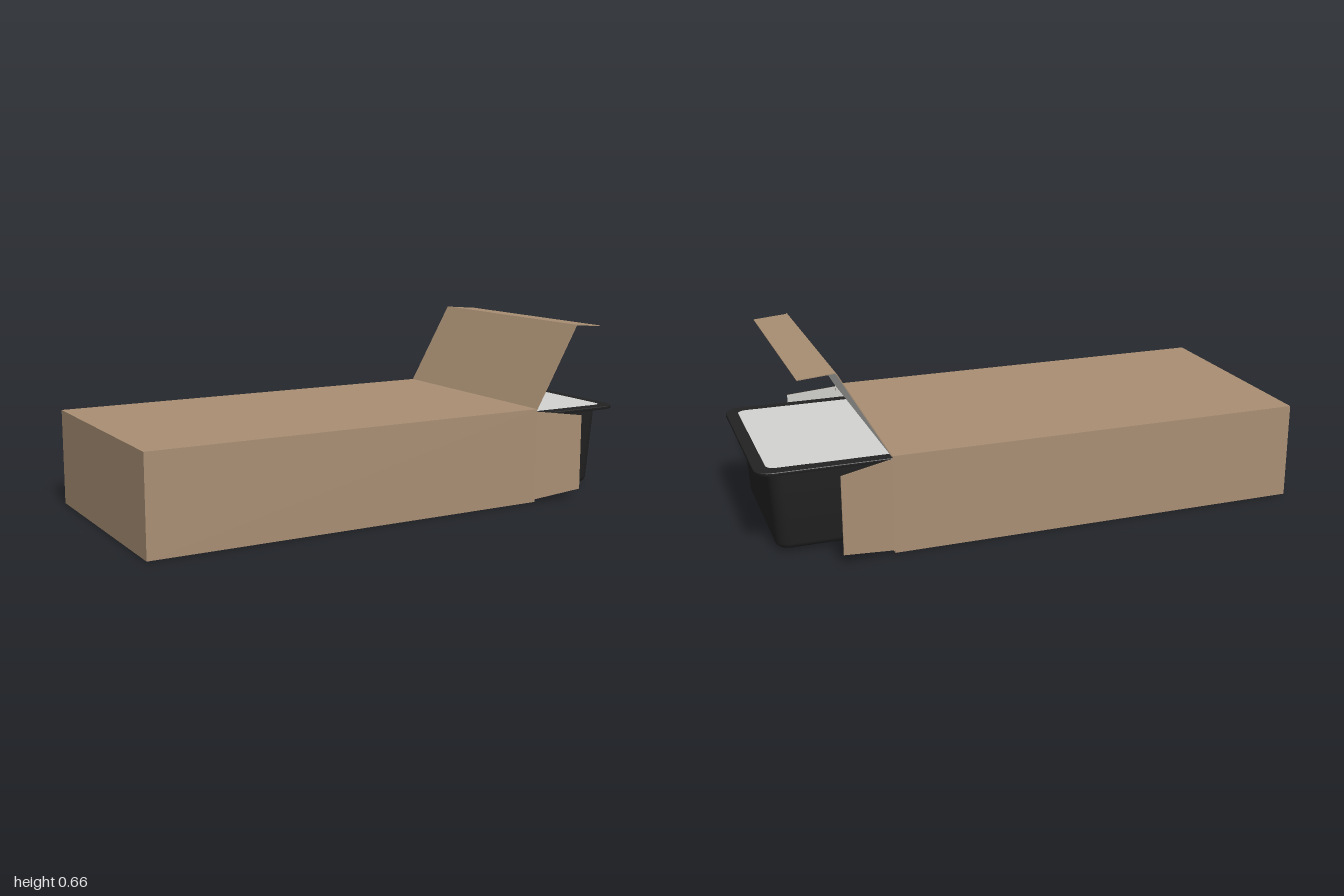
import * as THREE from 'three';
import { toCreasedNormals } from 'three/addons/utils/BufferGeometryUtils.js';

const card = new THREE.MeshStandardMaterial({ color: 0xa88e73 });
card.name = 'brown card';
const liner = new THREE.MeshStandardMaterial({ color: 0xd0d0cd });
liner.name = 'white liner';
const plastic = new THREE.MeshStandardMaterial({ color: 0x222222 });
plastic.name = 'black plastic';
const filmMat = new THREE.MeshStandardMaterial({ color: 0xd2d2d0 });
filmMat.name = 'sealing film';

const THICK = 0.003;

// Thin card panel: four corners counter-clockwise seen from the brown side, white on the other side
function panel(name, corners) {
  const outer = corners.map((c) => new THREE.Vector3(...c));
  const n = new THREE.Vector3()
    .crossVectors(outer[1].clone().sub(outer[0]), outer[3].clone().sub(outer[0]))
    .setLength(THICK);
  const inner = outer.map((p) => p.clone().sub(n));
  const pts = [];
  const quad = (a, b, c, d) => pts.push(a, b, c, a, c, d);
  quad(...outer);
  for (let i = 0; i < 4; i++) {
    const j = (i + 1) % 4;
    quad(outer[i], inner[i], inner[j], outer[j]);
  }
  quad(inner[0], inner[3], inner[2], inner[1]);
  const g = new THREE.BufferGeometry().setFromPoints(pts);
  g.computeVertexNormals();
  g.addGroup(0, 30, 0);
  g.addGroup(30, 6, 1);
  const m = new THREE.Mesh(g, [card, liner]);
  m.name = name;
  return m;
}

// Rounded rectangle outline, counter-clockwise in the shape plane
function outline(hx, hz, r) {
  const pts = [];
  [[1, 1], [-1, 1], [-1, -1], [1, -1]].forEach(([sx, sz], k) => {
    for (let i = 0; i <= 8; i++) {
      const a = (k + i / 8) * Math.PI / 2;
      pts.push(new THREE.Vector2(sx * (hx - r) + r * Math.cos(a), sz * (hz - r) + r * Math.sin(a)));
    }
  });
  return pts;
}

// Flanged tray lofted through rounded rectangles, sealed with a film
function tray(name, x0, x1, halfWidth, y0, y1, flange, lip, taper) {
  const hx = (x1 - x0) / 2;
  const b = flange + taper;
  // [height, inset from the flange edge, corner radius]
  const rings = [
    [y0, b + 0.02, 0.03],
    [y0 + 0.003, b + 0.01, 0.04],
    [y0 + 0.009, b + 0.003, 0.046],
    [y0 + 0.02, b - 0.001, 0.05],
    [y1 - lip, flange, 0.05],
    [y1 - lip, 0.001, 0.06],
    [y1 - lip + 0.002, 0, 0.06],
    [y1 - 0.002, 0, 0.06],
    [y1, 0.002, 0.058],
    [y1, 0.045, 0.03],
  ].map(([y, inset, r]) =>
    outline(hx - inset, halfWidth - inset, r).map((p) => new THREE.Vector3(p.x, y, -p.y)));
  const tris = [];
  const count = rings[0].length;
  for (let k = 0; k < rings.length - 1; k++) {
    for (let i = 0; i < count; i++) {
      const j = (i + 1) % count;
      const [a, c, d, e] = [rings[k][i], rings[k][j], rings[k + 1][j], rings[k + 1][i]];
      tris.push(a, c, d, a, d, e);
    }
  }
  const base = new THREE.Vector3(0, y0, 0);
  for (let i = 0; i < count; i++) tris.push(base, rings[0][(i + 1) % count], rings[0][i]);

  const body = new THREE.Mesh(
    toCreasedNormals(new THREE.BufferGeometry().setFromPoints(tris), 0.7), plastic);
  body.name = name + 'Body';
  const film = new THREE.Mesh(
    new THREE.ShapeGeometry(new THREE.Shape(outline(hx - 0.044, halfWidth - 0.044, 0.031))), filmMat);
  film.name = name + 'Film';
  film.rotation.x = -Math.PI / 2;
  film.position.y = y1 + 0.001;
  const g = new THREE.Group();
  g.name = name;
  g.position.x = (x0 + x1) / 2;
  g.add(body, film);
  return g;
}

export function createModel() {
  const model = new THREE.Group();
  model.name = 'openCartonWithTrays';
  const B = -1, F = 0.55, H = 0.357, W = 0.432;

  // Carton sleeve, closed at the back end and open at the other
  const carton = new THREE.Group();
  carton.name = 'carton';
  carton.add(
    panel('topPanel', [[B, H, W], [F, H, W], [F, H, -W], [B, H, -W]]),
    panel('bottomPanel', [[B, 0, -W], [F, 0, -W], [F, 0, W], [B, 0, W]]),
    panel('frontPanel', [[B, 0, W], [F, 0, W], [F, H, W], [B, H, W]]),
    panel('rearPanel', [[F, 0, -W], [B, 0, -W], [B, H, -W], [F, H, -W]]),
    panel('closedEnd', [[B, 0, -W], [B, 0, W], [B, H, W], [B, H, -W]]),
  );

  // Raised lid with its tuck flap
  const K = 0.727, KY = 0.664, T = 0.857, TY = 0.653, TW = 0.415;
  carton.add(
    panel('lid', [[F, H, W], [K, KY, W], [K, KY, -W], [F, H, -W]]),
    panel('tuckFlap', [[K, KY, TW], [T, TY, TW], [T, TY, -TW], [K, KY, -TW]]),
  );

  // Side flaps, splayed slightly outwards
  const S = 0.737, SW = 0.465, LO = 0.036, HI = 0.322;
  carton.add(
    panel('frontSideFlap', [[F, 0.01, W], [S, LO, SW], [S, HI, SW], [F, 0.347, W]]),
    panel('rearSideFlap', [[S, LO, -SW], [F, 0.01, -W], [F, 0.347, -W], [S, HI, -SW]]),
  );
  model.add(carton);

  // Deep tray sliding out, two shallow trays stacked behind it
  model.add(
    tray('deepTray', 0.1, 1, 0.366, 0.008, 0.324, 0.05, 0.012, 0.018),
    tray('lowerShallowTray', -0.95, 0.06, 0.361, 0.008, 0.097, 0.031, 0.009, 0.009),
    tray('upperShallowTray', -0.95, 0.06, 0.361, 0.1, 0.19, 0.031, 0.009, 0.009),
  );
  return model;
}
